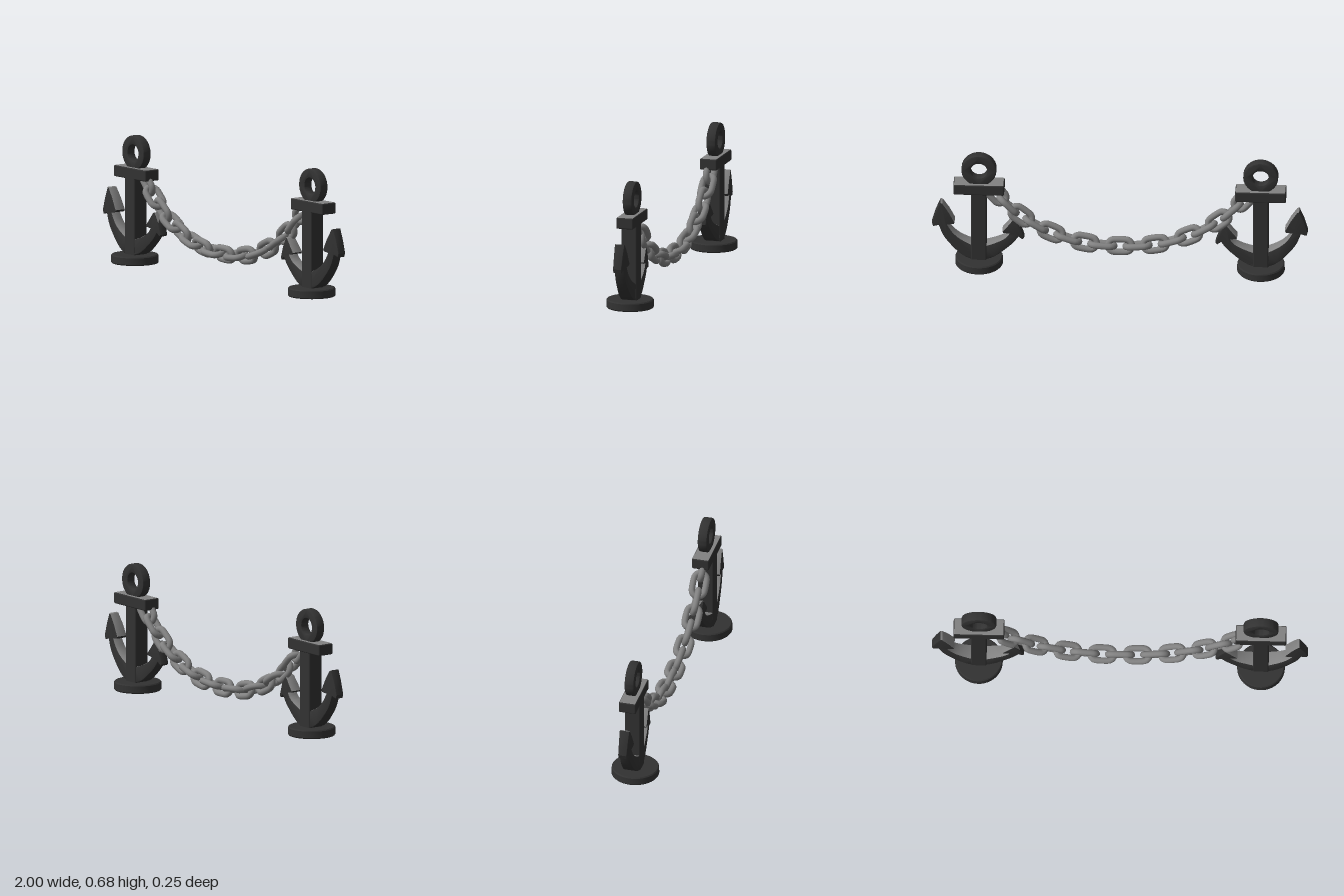
import * as THREE from 'three';
import { toCreasedNormals } from 'three/addons/utils/BufferGeometryUtils.js';
import { RoundedBoxGeometry } from 'three/addons/geometries/RoundedBoxGeometry.js';

const iron = new THREE.MeshStandardMaterial({ name: 'dark iron', color: 0x323232 });
const steel = new THREE.MeshStandardMaterial({ name: 'grey steel', color: 0x828282 });

function add(parent, name, geometry, material, x = 0, y = 0, z = 0) {
  const mesh = new THREE.Mesh(geometry, material);
  mesh.name = name;
  mesh.position.set(x, y, z);
  parent.add(mesh);
  return mesh;
}

// Extrude a shape centred on z with a small soft bevel
function plate(shape, depth, bevel, segments = 24) {
  const geo = new THREE.ExtrudeGeometry(shape, {
    depth: depth - 2 * bevel, bevelEnabled: true, bevelThickness: bevel,
    bevelSize: bevel, bevelOffset: -bevel, bevelSegments: 2, curveSegments: segments,
  });
  return geo.translate(0, 0, bevel - depth / 2);
}

// Worn upper faces take the second material
function wearTops(geo, limit) {
  geo.clearGroups();
  const n = geo.attributes.normal;
  let start = 0, current = -1;
  for (let i = 0; i <= n.count; i += 3) {
    const m = i === n.count ? -2 : (n.getY(i) + n.getY(i + 1) + n.getY(i + 2)) / 3 > limit ? 1 : 0;
    if (m !== current) {
      if (i > start) geo.addGroup(start, i - start, current);
      start = i;
      current = m;
    }
  }
  return geo;
}

// Half of the anchor crown: a curved arm ending in an arrow-shaped fluke
const outerArm = {
  lower: [[0, 0.045], [0.055, 0.052], [0.105, 0.083], [0.15, 0.13], [0.19, 0.185], [0.213, 0.246]],
  fluke: [[0.243, 0.236], [0.25, 0.257], [0.23, 0.325], [0.205, 0.385], [0.194, 0.382], [0.16, 0.33], [0.129, 0.268], [0.134, 0.257]],
  upper: [[0.168, 0.252], [0.14, 0.207], [0.1, 0.17], [0.04, 0.138], [0, 0.13]],
};
const innerArm = {
  lower: [[0, 0.045], [0.055, 0.052], [0.1, 0.075], [0.145, 0.112], [0.185, 0.15], [0.21, 0.186]],
  fluke: [[0.232, 0.168], [0.241, 0.178], [0.22, 0.24], [0.19, 0.294], [0.18, 0.29], [0.152, 0.252], [0.125, 0.218], [0.13, 0.21]],
  upper: [[0.162, 0.205], [0.14, 0.178], [0.1, 0.155], [0.04, 0.133], [0, 0.13]],
};
function armGeometry(arm, side) {
  const smooth = (pts) => new THREE.SplineCurve(pts.map((p) => new THREE.Vector2(...p))).getPoints(12);
  const outline = [...smooth(arm.lower), ...arm.fluke.map((p) => new THREE.Vector2(...p)), ...smooth(arm.upper)];
  const geo = plate(new THREE.Shape(outline.map((p) => new THREE.Vector2(p.x * side, p.y))), 0.08, 0.005);
  // Thin the arm towards its fluke
  const pos = geo.attributes.position;
  for (let i = 0; i < pos.count; i++) {
    const t = THREE.MathUtils.clamp((Math.abs(pos.getX(i)) - 0.04) / 0.2, 0, 1);
    pos.setZ(i, pos.getZ(i) * (1 - 0.4 * t) - 0.005);
  }
  geo.deleteAttribute('normal');
  return wearTops(toCreasedNormals(geo, 0.6), 0.42);
}

function anchor(side) {
  const group = new THREE.Group();
  group.name = side > 0 ? 'leftAnchor' : 'rightAnchor';
  group.position.x = side * 0.75;

  // Round foot
  const foot = [[0, 0], [0.122, 0], [0.127, 0.006], [0.126, 0.041], [0.121, 0.047], [0, 0.047]];
  const footGeo = new THREE.LatheGeometry(foot.map((p) => new THREE.Vector2(...p)), 48);
  add(group, 'base', toCreasedNormals(footGeo, 0.6), iron);

  // Shank and cross stock
  add(group, 'shank', new RoundedBoxGeometry(0.083, 0.43, 0.086, 2, 0.007), iron, 0, 0.255, -0.006);
  const stock = new RoundedBoxGeometry(0.27, 0.061, 0.094, 2, 0.007);
  add(group, 'stock', wearTops(stock, 0.9), [iron, steel], 0, 0.483, -0.01);

  // Ring on top
  const ring = new THREE.Shape().absarc(0, 0, 0.093, 0, Math.PI * 2);
  ring.holes.push(new THREE.Path().absarc(0, 0, 0.044, 0, Math.PI * 2, true));
  add(group, 'ring', toCreasedNormals(plate(ring, 0.052, 0.008, 32), 0.6), iron, 0, 0.591, -0.011);

  add(group, 'outerArm', armGeometry(outerArm, side), [iron, steel]);
  add(group, 'innerArm', armGeometry(innerArm, -side), [iron, steel]);
  return group;
}

// Oval chain link lying in the xy plane
function linkGeometry(halfStraight, radius, wire) {
  const pts = [];
  for (const side of [1, -1]) {
    for (let i = 0; i <= 8; i++) {
      const a = -Math.PI / 2 + (i / 8) * Math.PI;
      pts.push(new THREE.Vector3(side * (halfStraight + radius * Math.cos(a)), side * radius * Math.sin(a), 0));
    }
  }
  return new THREE.TubeGeometry(new THREE.CatmullRomCurve3(pts, true), 40, wire, 10, true);
}

function chain() {
  const group = new THREE.Group();
  group.name = 'chain';
  const half = [[0.68, 0.465], [0.58, 0.355], [0.44, 0.248], [0.27, 0.172], [0.13, 0.142]];
  const pts = [...half.map(([x, y]) => [-x, y]), [0, 0.135], ...half.reverse()];
  const curve = new THREE.CatmullRomCurve3(pts.map(([x, y]) => new THREE.Vector3(x, y, -0.01)));
  const geo = linkGeometry(0.03, 0.034, 0.0175);
  const count = 17;
  for (let i = 0; i < count; i++) {
    const t = (i + 0.35) / (count - 0.3);
    const p = curve.getPointAt(t), d = curve.getTangentAt(t);
    const link = add(group, 'link' + (i + 1), geo, steel, p.x, p.y, p.z);
    // Follow the curve, alternating a quarter turn
    link.rotation.set((i % 2 ? Math.PI / 2 : 0) + 0.3, 0, Math.atan2(d.y, d.x), 'ZYX');
  }
  return group;
}

export function createModel() {
  const model = new THREE.Group();
  model.name = 'anchorPostsWithChain';
  model.add(anchor(1), anchor(-1), chain());
  return model;
}
